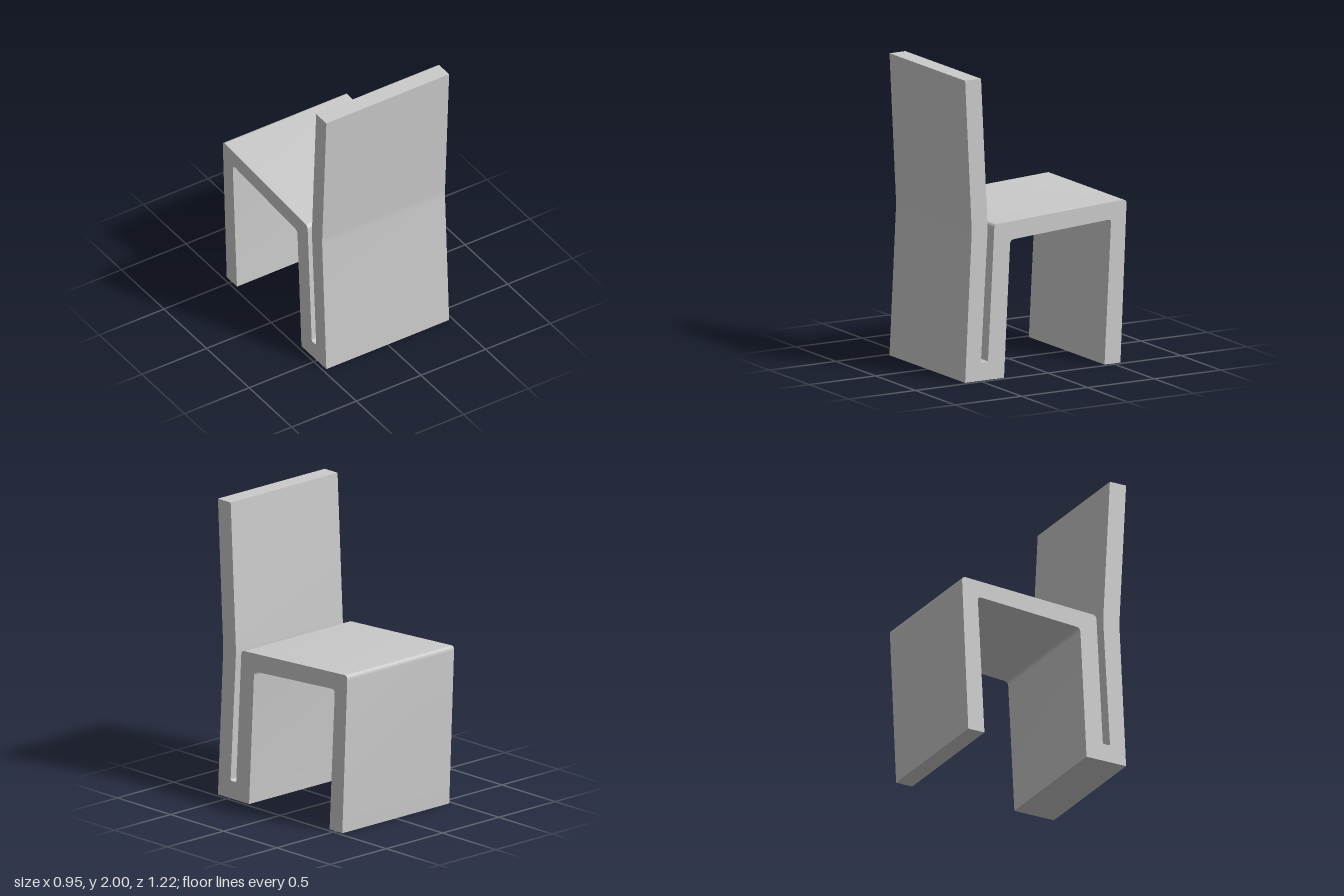
import * as THREE from 'three';
import { toCreasedNormals } from 'three/addons/utils/BufferGeometryUtils.js';

const WIDTH = 0.95;

// Closed outline from [x, y, cornerRadius] points, with rounded corners
function roundedShape(points) {
  const shape = new THREE.Shape();
  const at = (i) => new THREE.Vector2(...points[(i + points.length) % points.length].slice(0, 2));
  points.forEach(([, , r = 0], i) => {
    const p = at(i);
    const toward = (q) => q.sub(p).setLength(r).add(p);
    const a = r ? toward(at(i - 1)) : p;
    if (i === 0) shape.moveTo(a.x, a.y);
    else shape.lineTo(a.x, a.y);
    if (r) {
      const b = toward(at(i + 1));
      shape.quadraticCurveTo(p.x, p.y, b.x, b.y);
    }
  });
  shape.closePath();
  return shape;
}

export function createModel() {
  const group = new THREE.Group();
  group.name = 'chair';

  // Side profile as [z, y, radius]: one folded slab forming legs, seat and backrest
  const profile = roundedShape([
    [-0.56, 0], [-0.44, 0],                          // free leg foot
    [-0.49, 0.957, 0.03], [0.27, 0.908, 0.03],       // underside of seat
    [0.317, 0], [0.61, 0],                           // joined foot
    [0.56, 1.0, 0.03], [0.61, 2], [0.49, 2], [0.44, 1.0, 0.03], // backrest
    [0.491, 0.12, 0.012], [0.438, 0.12, 0.012],      // slot between backrest and leg
    [0.389, 1.023, 0.03], [-0.607, 1.076, 0.03],     // top of seat
  ]);

  const geometry = new THREE.ExtrudeGeometry(profile, {
    depth: WIDTH, bevelEnabled: false, curveSegments: 8,
  });
  geometry.translate(0, 0, -WIDTH / 2);
  geometry.rotateY(-Math.PI / 2);

  const body = new THREE.Mesh(
    toCreasedNormals(geometry, Math.PI / 6),
    new THREE.MeshStandardMaterial({ color: 0xcccccc }),
  );
  body.name = 'foldedSeatAndBackrest';
  group.add(body);
  return group;
}
